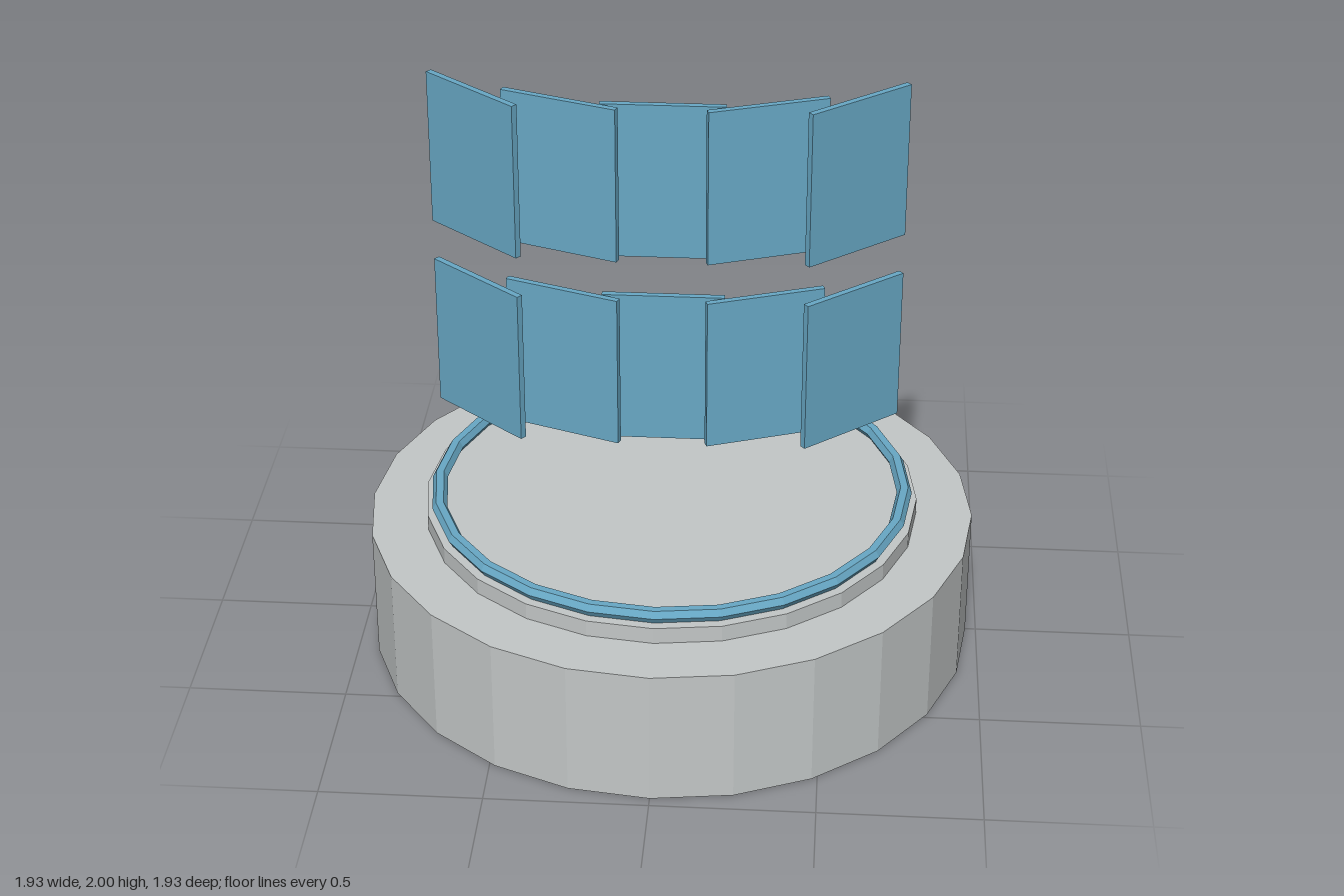
import * as THREE from 'three';

export function createModel() {
  const model = new THREE.Group();
  const stone = new THREE.MeshStandardMaterial({ color: 0xc3c7c7, flatShading: true });
  stone.name = 'pale grey';
  const blue = new THREE.MeshStandardMaterial({ color: 0x68a8c5, flatShading: true });
  blue.name = 'panel blue';

  const add = (name, geometry, material, parent = model) => {
    const mesh = new THREE.Mesh(geometry, material);
    mesh.name = name;
    parent.add(mesh);
    return mesh;
  };

  // Stepped round pedestal
  const disc = (name, radius, bottom, top) => {
    const geometry = new THREE.CylinderGeometry(radius, radius, top - bottom, 24);
    add(name, geometry, stone).position.y = (bottom + top) / 2;
  };
  disc('base', 0.966, 0, 0.44);
  disc('platform', 0.787, 0.44, 0.493);

  // Six-sided ring lying on the platform
  const ring = add('ring', new THREE.TorusGeometry(0.747, 0.024, 6, 24), blue);
  ring.rotation.x = Math.PI / 2;
  ring.position.y = 0.515;

  // Two curved rows of floating screens: x, z and turn for one half, then mirrored
  const panel = new THREE.BoxGeometry(0.365, 0.485, 0.02);
  const places = [[0, 0.35, 0], [0.302, 0.33, 20], [0.563, 0.271, 40]];
  for (const [rowName, y] of [['lowerScreens', 1.143], ['upperScreens', 1.757]]) {
    const row = new THREE.Group();
    row.name = rowName;
    row.position.y = y;
    model.add(row);
    for (const [x, z, turn] of places) {
      for (const side of x ? [1, -1] : [1]) {
        const screen = add('screen', panel, blue, row);
        screen.position.set(side * x, 0, z);
        screen.rotation.y = side * THREE.MathUtils.degToRad(turn);
      }
    }
  }
  return model;
}
